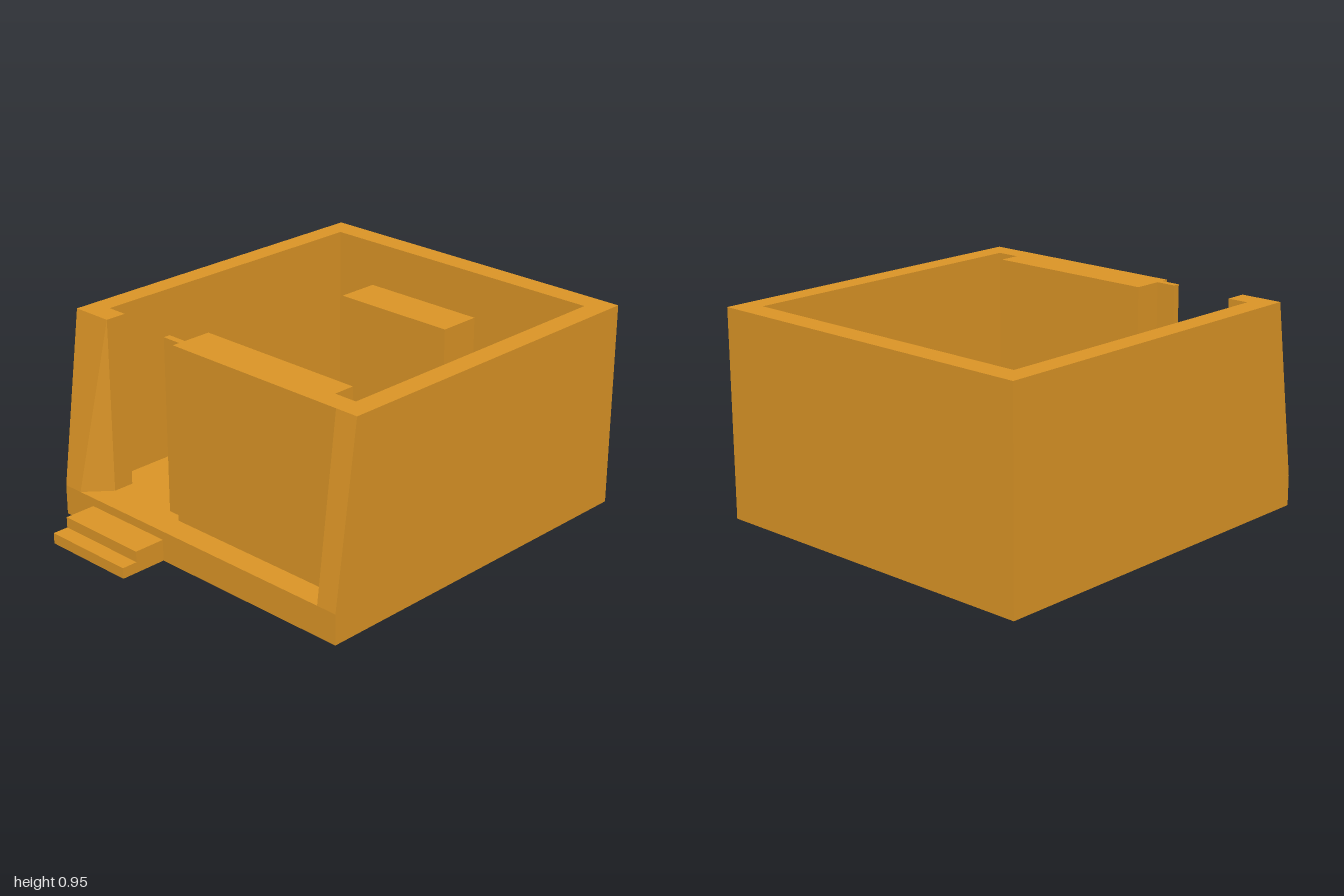
import * as THREE from 'three';
import { ConvexGeometry } from 'three/addons/geometries/ConvexGeometry.js';

export function createModel() {
  const group = new THREE.Group();
  const material = new THREE.MeshStandardMaterial({ color: 0xdc9526 });
  const FLOOR = 0.14, TOP = 0.95;

  const add = (name, geometry) => {
    const mesh = new THREE.Mesh(geometry, material);
    mesh.name = name;
    group.add(mesh);
    return mesh;
  };
  // Box given by its extents on each axis
  const block = (name, x0, x1, y0, y1, z0, z1) =>
    add(name, new THREE.BoxGeometry(x1 - x0, y1 - y0, z1 - z0))
      .position.set((x0 + x1) / 2, (y0 + y1) / 2, (z0 + z1) / 2);

  // Floor slab
  block('floor', -0.775, 1, 0, FLOOR, -0.83, 0.83);

  // Walls: one plan outline (x, z) with a doorway, raised to full height
  const plan = [
    [-0.66, -0.83], [1, -0.83], [1, 0.83], [-0.66, 0.83], [-0.66, -0.21],
    [-0.46, -0.21], [-0.46, 0.62], [-0.56, 0.62], [-0.56, 0.73], [0.89, 0.73],
    [0.89, -0.73], [-0.56, -0.73], [-0.56, -0.63], [-0.66, -0.63],
  ].map(([x, z]) => new THREE.Vector2(x, z));
  const walls = new THREE.ExtrudeGeometry(new THREE.Shape(plan), { depth: TOP - FLOOR, bevelEnabled: false });
  walls.rotateX(Math.PI / 2).translate(0, TOP, 0);
  add('walls', walls);

  // Sloping cheeks either side of the recessed entrance wall
  const cheek = (name, side, zLow, zTop, zFoot) => add(name, new ConvexGeometry([
    [-0.775, FLOOR, 0.83], [-0.66, FLOOR, 0.83], [-0.66, TOP, 0.83],
    [-0.775, FLOOR, zLow], [-0.66, TOP, zTop], [-0.66, FLOOR, zFoot],
  ].map(([x, y, z]) => new THREE.Vector3(x, y, z * side))));
  cheek('backCheek', -1, 0.73, 0.63, 0.63);
  cheek('frontCheek', 1, 0.73, 0.72, 0.67);

  // Door strip projecting from the wall end
  block('doorStrip', -0.625, -0.593, FLOOR, TOP, -0.305, -0.21);

  // Entrance steps
  block('upperStep', -0.925, -0.775, 0, 0.1, -0.645, -0.185);
  block('lowerStep', -1, -0.925, 0, 0.05, -0.645, -0.185);

  // Furniture
  block('cabinet', 0.58, 0.785, FLOOR, 0.785, -0.42, 0.205);
  block('sideboard', -0.245, 0.27, FLOOR, 0.35, -0.73, -0.575);
  block('benchSeat', 0.525, 0.705, FLOOR, 0.4, 0.35, 0.715);
  block('benchBack', 0.705, 0.89, FLOOR, 0.535, 0.35, 0.715);

  // Stepped platform
  [[0.325, 0.355, 0.18], [0.355, 0.385, 0.22], [0.385, 0.41, 0.26], [0.41, 0.62, 0.3]]
    .forEach(([z0, z1, y], i) => block(`platformStep${i + 1}`, -0.04, 0.375, FLOOR, y, z0, z1));

  // Round stool
  const stool = add('stool', new THREE.CylinderGeometry(0.055, 0.058, 0.12, 32));
  stool.position.set(-0.263, FLOOR + 0.06, 0.457);

  return group;
}
